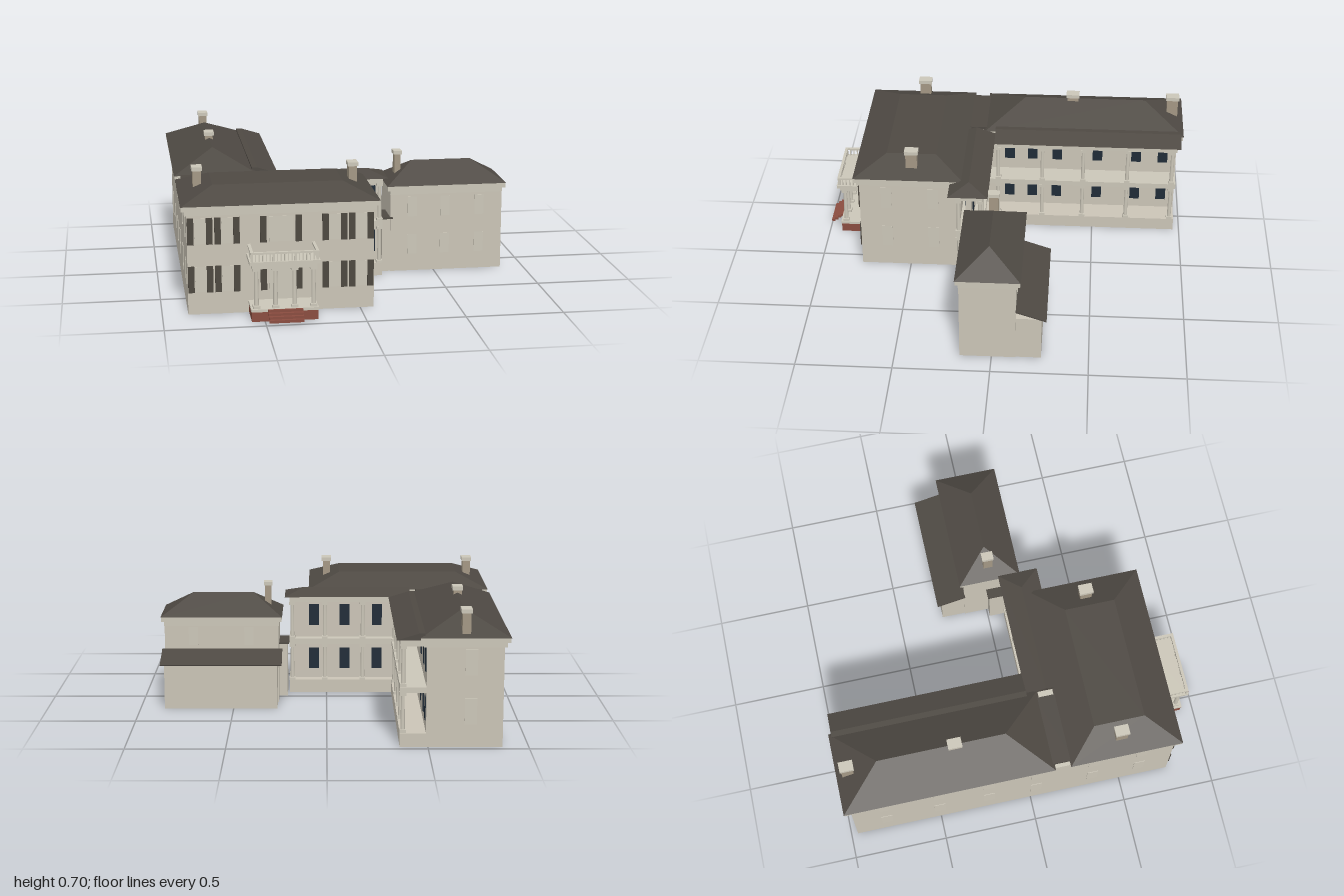
import * as THREE from 'three';

const mat = (name, color, side = THREE.FrontSide) => {
  const m = new THREE.MeshStandardMaterial({ color, side });
  m.name = name;
  return m;
};

export function createModel() {
  const root = new THREE.Group();
  root.name = 'mansion';
  const wall = mat('stucco', 0xcac4b6, THREE.DoubleSide);
  const trim = mat('trim', 0xcbc6b8);
  const roof = mat('slate', 0x4e4943, THREE.DoubleSide);
  const shutterMat = mat('shutterBrown', 0x4c473f, THREE.DoubleSide);
  const glass = mat('darkGlass', 0x1f2b37);
  const brick = mat('brick', 0x8a4c3f);
  const stone = mat('chimneyStone', 0xa39784);

  const add = (name, geo, material, parent = root) => {
    const m = new THREE.Mesh(geo, material);
    m.name = name;
    parent.add(m);
    return m;
  };
  // Box given by its extents
  const box = (name, material, x0, x1, y0, y1, z0, z1, parent = root) => {
    const m = add(name, new THREE.BoxGeometry(x1 - x0, y1 - y0, z1 - z0), material, parent);
    m.position.set((x0 + x1) / 2, (y0 + y1) / 2, (z0 + z1) / 2);
    return m;
  };
  // Hollow walls: a box without its bottom face
  const shell = (name, ...extents) => {
    const m = box(name, wall, ...extents);
    const idx = Array.from(m.geometry.index.array);
    idx.splice(18, 6);
    m.geometry.setIndex(idx);
    m.geometry.clearGroups();
    return m;
  };
  // Hipped roof: eave rectangle rising to a smaller rectangle or ridge line
  const hip = (name, [x0, x1, z0, z1], y0, [a0, a1, b0, b1], y1) => {
    const p = [
      [x0, y0, z1], [x1, y0, z1], [x1, y0, z0], [x0, y0, z0],
      [a0, y1, b1], [a1, y1, b1], [a1, y1, b0], [a0, y1, b0]];
    const v = [];
    const quad = (a, b, c, d) => [a, b, c, a, c, d].forEach(i => v.push(...p[i]));
    for (let i = 0; i < 4; i++) quad(i, (i + 1) % 4, 4 + (i + 1) % 4, 4 + i);
    quad(4, 5, 6, 7);
    quad(3, 2, 1, 0);
    const g = new THREE.BufferGeometry();
    g.setAttribute('position', new THREE.Float32BufferAttribute(v, 3));
    g.computeVertexNormals();
    return add(name, g, roof);
  };
  // Two-step cornice around an eave rectangle
  const cornice = (name, x0, x1, z0, z1, top) => {
    box(name, trim, x0 + 0.003, x1 - 0.003, top - 0.025, top, z0 + 0.003, z1 - 0.003);
    box(name, trim, x0 + 0.018, x1 - 0.018, top - 0.05, top - 0.025, z0 + 0.018, z1 - 0.018);
  };

  // Windows: turn is the outward direction around y. Blind ones are glazed on the inside only.
  const windowAt = (x, y, z, turn, blind, w = 0.06, h = 0.13, inner = glass) => {
    const g = new THREE.Group();
    g.name = blind ? 'blindWindow' : 'window';
    g.position.set(x, y, z);
    g.rotation.y = turn;
    root.add(g);
    if (blind) {
      box('panel', trim, -w / 2, w / 2, -h / 2, h / 2, -0.002, 0.003, g);
      const pane = add('innerPane', new THREE.PlaneGeometry(w, h), inner, g);
      pane.rotation.y = Math.PI;
      pane.position.z = -0.005;
    } else box('pane', glass, -w / 2, w / 2, -h / 2, h / 2, -0.003, 0.004, g);
  };
  const EAST = Math.PI / 2, WEST = -Math.PI / 2, NORTH = Math.PI, SOUTH = 0;
  const floors = [0.182, 0.43];

  // Main block
  shell('mainWalls', -0.87, 0.07, 0, 0.53, 0.22, 0.77);
  cornice('mainCornice', -0.9, 0.1, 0.2, 0.8, 0.562);
  hip('mainRoof', [-0.9, 0.1, 0.2, 0.8], 0.562, [-0.73, -0.07, 0.36, 0.63], 0.632);

  // Rear wing
  shell('wingWalls', -0.87, -0.49, 0, 0.53, -0.965, 0.22);
  cornice('wingCornice', -0.9, -0.455, -1, 0.12, 0.56);
  box('linkCornice', trim, -0.885, -0.455, 0.51, 0.55, 0.1, 0.21);
  box('linkRoof', roof, -0.865, -0.495, 0.55, 0.564, 0.1, 0.22);
  hip('wingRoof', [-0.9, -0.455, -1, 0.12], 0.56, [-0.68, -0.68, -0.78, -0.1], 0.665);

  // Front windows with shutters
  for (const [f, y] of floors.entries()) {
    for (const o of [-0.405, -0.27, 0, 0.27, 0.405]) {
      const x = -0.4 + o, half = o === 0 ? 0.089 : 0.047;
      const door = o === 0 && f === 0;
      windowAt(x, door ? 0.16 : y, 0.77, SOUTH, true, o === 0 ? 0.12 : 0.055, door ? 0.19 : 0.13,
        door ? shutterMat : glass);
      for (const s of [-1, 1]) {
        const c = x + s * half;
        box('shutter', shutterMat, c - 0.016, c + 0.016, y - 0.068, y + 0.068, 0.768, 0.777);
      }
    }
    // Side, rear and gallery windows
    for (const z of [0.625, 0.37]) windowAt(0.07, y, z, EAST, true);
    for (const z of [0.6, 0.34, 0.03, -0.23, -0.5, -0.79]) windowAt(-0.87, y, z, WEST, true);
    windowAt(-0.71, y, -0.965, NORTH, true);
    for (const z of [-0.02, -0.15, -0.29, -0.52, -0.74, -0.89]) windowAt(-0.49, y, z, EAST, false, 0.055, 0.118);
    for (const x of [-0.28, -0.1, 0.07]) windowAt(x, y, 0.15, NORTH, false, 0.055, 0.118);
    windowAt(0.143, y, 0.18, SOUTH, false, 0.06, 0.118);
  }

  // Two-storey gallery along the wing and behind the main block
  shell('wingGalleryBase', -0.49, -0.36, 0, 0.07, -0.965, 0.1);
  shell('linkGalleryBase', -0.48, 0.205, 0, 0.07, 0.09, 0.235);
  shell('linkWall', -0.48, 0.2, 0.07, 0.53, 0.15, 0.18);
  for (const [y0, y1] of [[0.275, 0.305], [0.512, 0.546]]) {
    box('wingGalleryBand', trim, -0.49, -0.36, y0, y1, -0.965, 0.1);
    box('linkGalleryBand', trim, -0.48, 0.205, y0, y1, 0.09, 0.235);
  }
  hip('wingGalleryRoof', [-0.48, -0.34, -0.985, 0.06], 0.546, [-0.48, -0.45, -0.985, 0.06], 0.58);
  hip('linkRoofHip', [-0.46, 0.23, 0.06, 0.275], 0.546, [-0.46, 0.125, 0.167, 0.167], 0.583);

  // Round column with square plinth and capital
  const column = (x, z, y0, y1, r) => {
    const g = new THREE.Group();
    g.name = 'column';
    g.position.set(x, y0, z);
    root.add(g);
    const h = y1 - y0, b = r * 1.45;
    box('plinth', trim, -b, b, 0, 0.014, -b, b, g);
    add('shaft', new THREE.CylinderGeometry(r * 0.82, r, h - 0.03, 12), trim, g).position.y = h / 2;
    box('capital', trim, -b, b, h - 0.016, h, -b, b, g);
  };
  const posts = [[-0.2, 0.105], [0.01, 0.105], [0.19, 0.105], [0.19, 0.22]];
  for (const z of [0.04, -0.21, -0.44, -0.69, -0.94]) posts.push([-0.375, z]);
  for (const [x, z] of posts) {
    column(x, z, 0.07, 0.275, 0.011);
    column(x, z, 0.305, 0.512, 0.011);
  }

  // Entrance portico
  box('porticoBase', brick, -0.565, -0.235, 0, 0.05, 0.77, 0.93);
  box('porticoFloor', trim, -0.568, -0.232, 0.05, 0.064, 0.77, 0.934);
  for (let i = 0; i < 4; i++) {
    const z = 0.93 + i * 0.0175, y = 0.063 - i * 0.0125;
    box('step', brick, -0.485, -0.312, y - 0.014, y, z, z + 0.0178);
  }
  for (const x of [-0.54, -0.445, -0.35, -0.255]) column(x, 0.905, 0.064, 0.272, 0.012);
  box('porticoBeam', trim, -0.562, -0.238, 0.27, 0.292, 0.77, 0.93);
  box('porticoCornice', trim, -0.575, -0.225, 0.292, 0.31, 0.77, 0.945);

  // Balustrade on three sides
  const rail = (x0, x1, z0, z1) => box('handrail', trim, x0, x1, 0.347, 0.357, z0, z1);
  rail(-0.57, -0.23, 0.925, 0.94);
  rail(-0.57, -0.555, 0.77, 0.925);
  rail(-0.245, -0.23, 0.77, 0.925);
  const baluster = (x, z, r = 0.003) => box('baluster', trim, x - r, x + r, 0.31, 0.348, z - r, z + r);
  for (let i = 0; i <= 18; i++) baluster(-0.5625 + i * 0.325 / 18, 0.9325, i % 6 ? 0.003 : 0.006);
  for (let i = 1; i <= 7; i++) for (const x of [-0.5625, -0.2375]) baluster(x, 0.9325 - i * 0.02);

  // Separate outbuilding, its rear lean-to and the link to the gallery
  shell('annexWalls', 0.26, 0.875, 0, 0.46, -0.125, 0.165);
  cornice('annexCornice', 0.24, 0.895, -0.15, 0.185, 0.478);
  hip('annexRoof', [0.24, 0.895, -0.15, 0.185], 0.478, [0.4, 0.725, 0.018, 0.018], 0.585);
  shell('leanToWalls', 0.265, 0.87, 0, 0.243, -0.255, -0.12);
  const leanTo = box('leanToRoof', roof, 0.24, 0.89, 0.268, 0.274, -0.285, -0.12);
  leanTo.rotation.x = -0.32;
  shell('linkPassage', 0.215, 0.265, 0, 0.295, 0.01, 0.16);
  box('linkPassageRoof', roof, 0.206, 0.272, 0.295, 0.304, 0, 0.172);
  for (const y of [0.15, 0.36]) {
    for (const x of [0.38, 0.56, 0.75]) windowAt(x, y, 0.165, SOUTH, true, 0.05, 0.11);
  }
  for (const x of [0.42, 0.72]) windowAt(x, 0.37, -0.125, NORTH, true, 0.05, 0.1);

  // Chimneys
  const chimney = (x, z, y0, top, w, d) => {
    box('chimneyStack', stone, x - w / 2, x + w / 2, y0, top - 0.02, z - d / 2, z + d / 2);
    box('chimneyCap', trim, x - w / 2 - 0.006, x + w / 2 + 0.006, top - 0.02, top, z - d / 2 - 0.006, z + d / 2 + 0.006);
  };
  for (const [x, z] of [[-0.8, 0.487], [0, 0.487], [-0.682, -0.937], [-0.682, -0.37]]) {
    chimney(x, z, 0.56, 0.698, 0.042, 0.062);
  }
  chimney(0.318, 0.02, 0.48, 0.645, 0.034, 0.05);

  return root;
}
